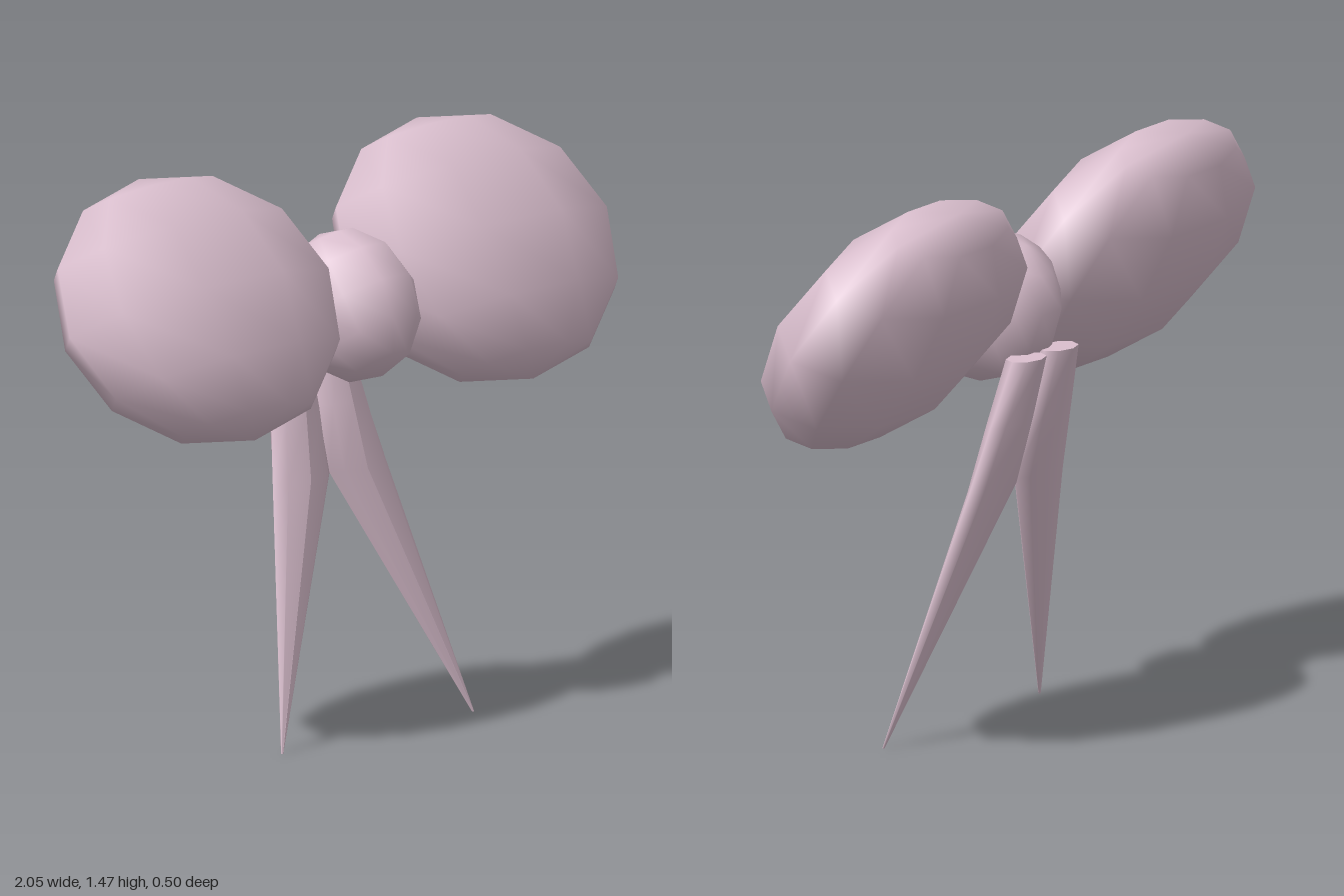
import * as THREE from 'three';

const pink = new THREE.MeshStandardMaterial({ color: 0xdabfce });
pink.name = 'dusty pink';

// Low-sided smooth ellipsoid, leaning backwards at the top
function ellipsoid(name, rx, ry, rz, x, y, z) {
  const geo = new THREE.SphereGeometry(1, 10, 6);
  geo.scale(rx, ry, rz);
  const mesh = new THREE.Mesh(geo, pink);
  mesh.name = name;
  mesh.rotation.x = -0.56;
  mesh.position.set(x, y, z);
  return mesh;
}

// Flattened ribbon tail: [y, centre x, centre z, half width, half depth] from top to tip
const tailRows = [
  [0.99, 0.075, -0.103, 0.066, 0.045],
  [0.82, 0.09, -0.062, 0.09, 0.041],
  [0.65, 0.109, -0.022, 0.109, 0.034],
  [0, 0.367, 0.14, 0.003, 0.003],
];

function ribbonTail(name, side) {
  const steps = tailRows.length - 1;
  const geo = new THREE.CylinderGeometry(1, 1, 1, 8, steps);
  const p = geo.attributes.position;
  for (let i = 0; i < p.count; i++) {
    const [y, cx, cz, w, d] = tailRows[Math.round((0.5 - p.getY(i)) * steps)];
    p.setXYZ(i, side * cx + p.getX(i) * w, y, cz + p.getZ(i) * d);
  }
  geo.computeVertexNormals();
  const mesh = new THREE.Mesh(geo, pink);
  mesh.name = name;
  return mesh;
}

export function createModel() {
  const bow = new THREE.Group();
  bow.name = 'bow';

  // Puffy loops and hanging tails on both sides
  for (const [label, side] of [['left', 1], ['right', -1]]) {
    bow.add(ellipsoid(label + 'Loop', 0.489, 0.368, 0.195, side * 0.535, 1.153, 0));
    bow.add(ribbonTail(label + 'Tail', side));
  }

  // Centre knot
  bow.add(ellipsoid('knot', 0.168, 0.2, 0.185, 0, 1.092, 0.05));
  return bow;
}
